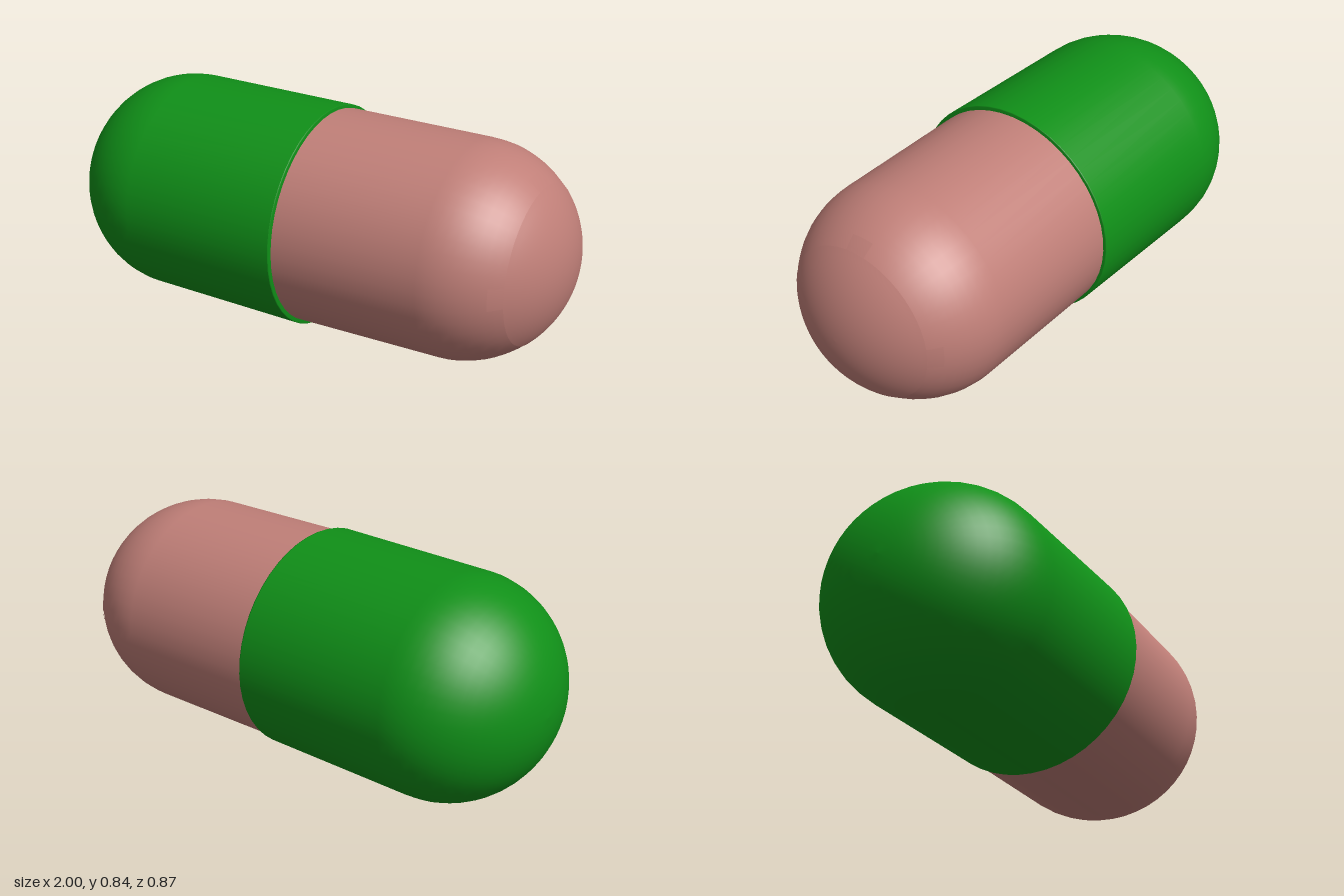
import * as THREE from 'three';

const SEGMENTS = 48;
const green = new THREE.MeshStandardMaterial({ color: 0x109018 });
const pink = new THREE.MeshStandardMaterial({ color: 0xc07f78 });

// Turns a (radius, x) profile about the x axis, slightly oval and slightly bent in z
function turned(name, profile, material, bend, offset, start = 0, length = Math.PI * 2) {
  const segments = Math.max(4, Math.round(SEGMENTS * length / (Math.PI * 2)));
  const points = profile.map(([r, x]) => new THREE.Vector2(r, x));
  const geometry = new THREE.LatheGeometry(points, segments, start, length);
  geometry.rotateZ(-Math.PI / 2);
  geometry.applyMatrix4(new THREE.Matrix4().set(
    1, 0, 0, 0,
    0, 0.967, 0, 0.42,
    bend, 0, 1, offset,
    0, 0, 0, 1));
  const mesh = new THREE.Mesh(geometry, material);
  mesh.name = name;
  return mesh;
}

// Quarter-ellipse dome from angle a (0 = pole) to b, listed along +x
function dome(centre, depth, radius, a, b, side, steps = 16) {
  const points = [];
  for (let i = 0; i <= steps; i++) {
    const t = a + (b - a) * i / steps;
    points.push([radius * Math.sin(t), centre + side * depth * Math.cos(t)]);
  }
  return side > 0 ? points.reverse() : points;
}

export function createModel() {
  const model = new THREE.Group();
  model.name = 'capsule';

  // Wider half with its open edge
  const wideHalf = new THREE.Group();
  wideHalf.name = 'wideHalf';
  wideHalf.add(
    turned('wideShell', [...dome(-0.6, 0.4, 0.432, 0, Math.PI / 2, -1), [0.434, 0.03]], green, 0.014, 0),
    turned('wideRim', [[0.434, 0.03], [0.432, 0.034], [0.408, 0.034]], green, 0.014, 0));

  // Narrower half, tucked a little way into the wider one
  const narrowHalf = new THREE.Group();
  narrowHalf.name = 'narrowHalf';
  const bend = -0.0165, offset = -0.002;
  narrowHalf.add(turned('narrowShell',
    [[0.42, -0.03], ...dome(0.6, 0.398, 0.417, 0, Math.PI / 2, 1)], pink, bend, offset));

  // Faint raised disc on the narrow end, with four tabs
  const edge = 0.81, tabEdge = 0.95, tabAngle = 0.26;
  const pieces = [turned('endDisc', dome(0.6, 0.4, 0.419, 0, edge, 1), pink, bend, offset)];
  for (let i = 0; i < 4; i++) {
    pieces.push(turned('endTab', dome(0.6, 0.4, 0.419, edge, tabEdge, 1, 4), pink,
      bend, offset, i * Math.PI / 2 - tabAngle / 2, tabAngle));
  }
  for (const piece of pieces) {
    // Lean the normals toward the axis so the disc reads as slightly flatter
    const normals = piece.geometry.attributes.normal;
    for (let i = 0; i < normals.count; i++) normals.setX(i, normals.getX(i) + 0.15);
    piece.geometry.normalizeNormals();
    narrowHalf.add(piece);
  }

  model.add(wideHalf, narrowHalf);
  return model;
}
